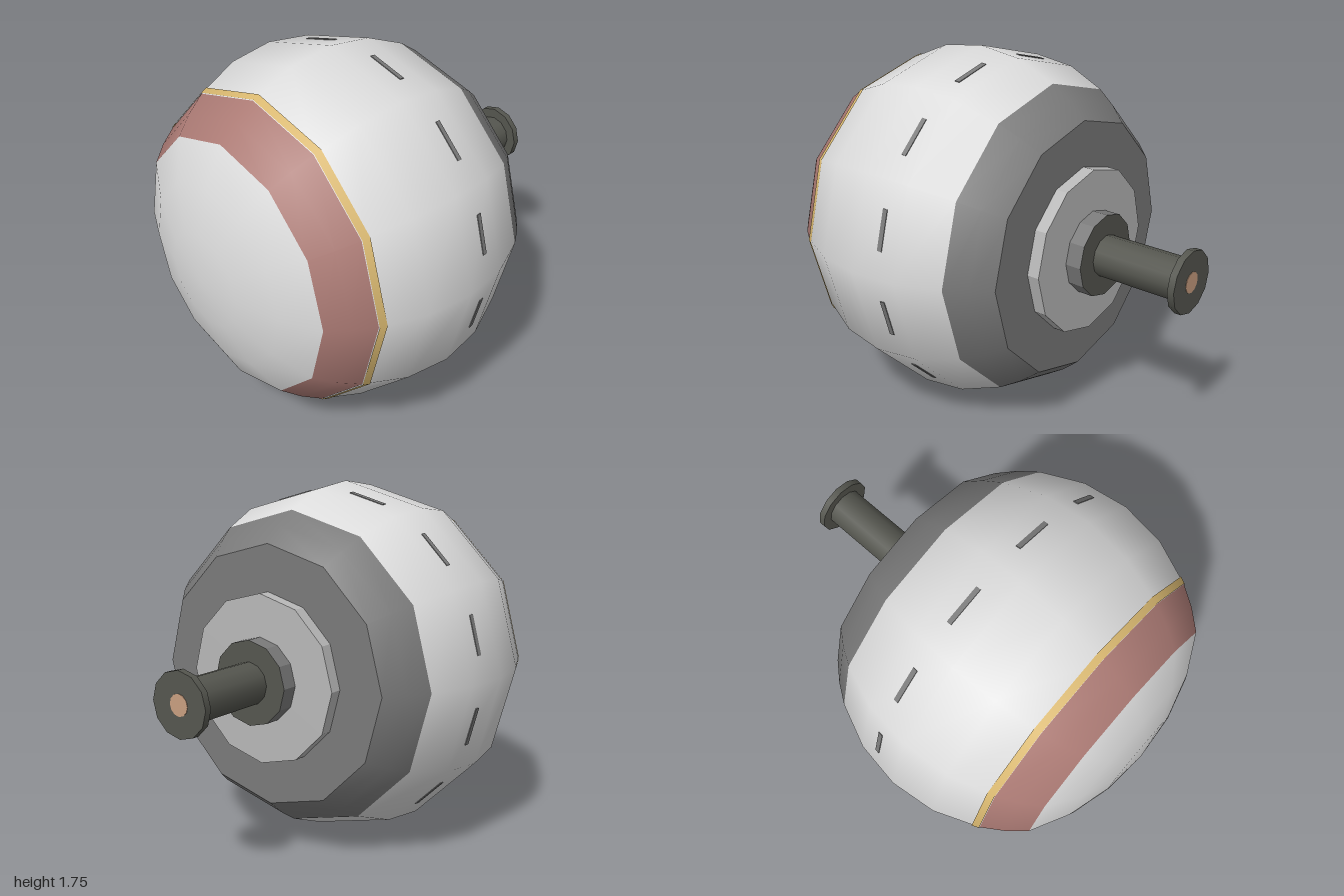
import * as THREE from 'three';

const SIDES = 12, R = 0.875, CENTER_Z = 0.215;
const rad = THREE.MathUtils.degToRad;

function material(name, color, side = THREE.FrontSide) {
  const m = new THREE.MeshStandardMaterial({ color, side });
  m.name = name;
  return m;
}

export function createModel() {
  const shell = material('pale grey shell', 0xdcdcdc);
  const grey = material('mid grey', 0x7a7a7a);
  const plate = material('light grey plate', 0xb8b8b8);
  const dark = material('dark metal', 0x55564f);
  const red = material('dusty red', 0xab7a74);
  const gold = material('gold', 0xd9b870, THREE.DoubleSide);
  const copper = material('copper', 0xc89e80);

  const model = new THREE.Group();
  model.name = 'roundDevice';
  const add = (name, geometry, mat, parent = model) => {
    const mesh = new THREE.Mesh(geometry, mat);
    mesh.name = name;
    parent.add(mesh);
    return mesh;
  };

  // Slice of the round body between two angles measured from the front pole
  const zone = (from, to) => new THREE.SphereGeometry(
    R, SIDES, (to - from) / 15, 0, Math.PI * 2, rad(from), rad(to - from)
  ).rotateX(Math.PI / 2);

  // Cylinder lying along z, from zBack to zFront
  const drum = (rFront, rBack, zFront, zBack, sides = SIDES, open = false) =>
    new THREE.CylinderGeometry(rFront, rBack, zFront - zBack, sides, 1, open)
      .rotateX(Math.PI / 2).translate(0, 0, (zFront + zBack) / 2);
  const faceted = (geometry) => {
    const g = geometry.toNonIndexed();
    g.computeVertexNormals();
    return g;
  };

  // Body, bands and flattened front dome
  add('shell', zone(60, 120).translate(0, 0, CENTER_Z), shell);
  add('frontBand', zone(45, 60).translate(0, 0, CENTER_Z), red);
  add('rearBand', zone(120, 135).translate(0, 0, CENTER_Z), grey);
  const rim = R * Math.SQRT1_2, rimZ = CENTER_Z + rim;
  add('frontDome',
    zone(0, 45).translate(0, 0, -rim).scale(1, 1, 0.647).translate(0, 0, rimZ), shell);
  add('goldTrim', drum(0.762, 0.776, 0.652, 0.62, SIDES, true), gold);

  // Flat back and its stepped mount
  const back = new THREE.CircleGeometry(rim, SIDES).rotateY(Math.PI);
  add('backFace', back.translate(0, 0, CENTER_Z - rim), grey);
  add('mountPlate', faceted(drum(0.4, 0.4, -0.4, -0.465)), plate);
  add('mountCollar', faceted(drum(0.2, 0.2, -0.46, -0.545)), [grey, grey, dark]);

  // Shaft with end flange and contact
  add('shaft', drum(0.1, 0.1, -0.54, -0.97), dark);
  add('shaftFlange', drum(0.15, 0.15, -0.965, -0.998), dark);
  add('shaftContact', drum(0.05, 0.05, -0.994, -1), copper);

  // Thin dashes around the middle, one on each facet
  const dashes = new THREE.Group();
  dashes.name = 'seamDashes';
  for (let i = 0; i < SIDES; i++) {
    const holder = new THREE.Group();
    holder.name = 'seamDash';
    holder.rotation.z = rad(15 + i * 30);
    const dash = add('dashPlate', new THREE.BoxGeometry(0.19, 0.006, 0.024), grey, holder);
    dash.position.set(0, 0.829, 0.083);
    dash.rotation.x = -rad(7.3);
    dashes.add(holder);
  }
  model.add(dashes);

  // Lift everything so the body rests on the ground
  for (const part of model.children) part.position.y += R;
  return model;
}
